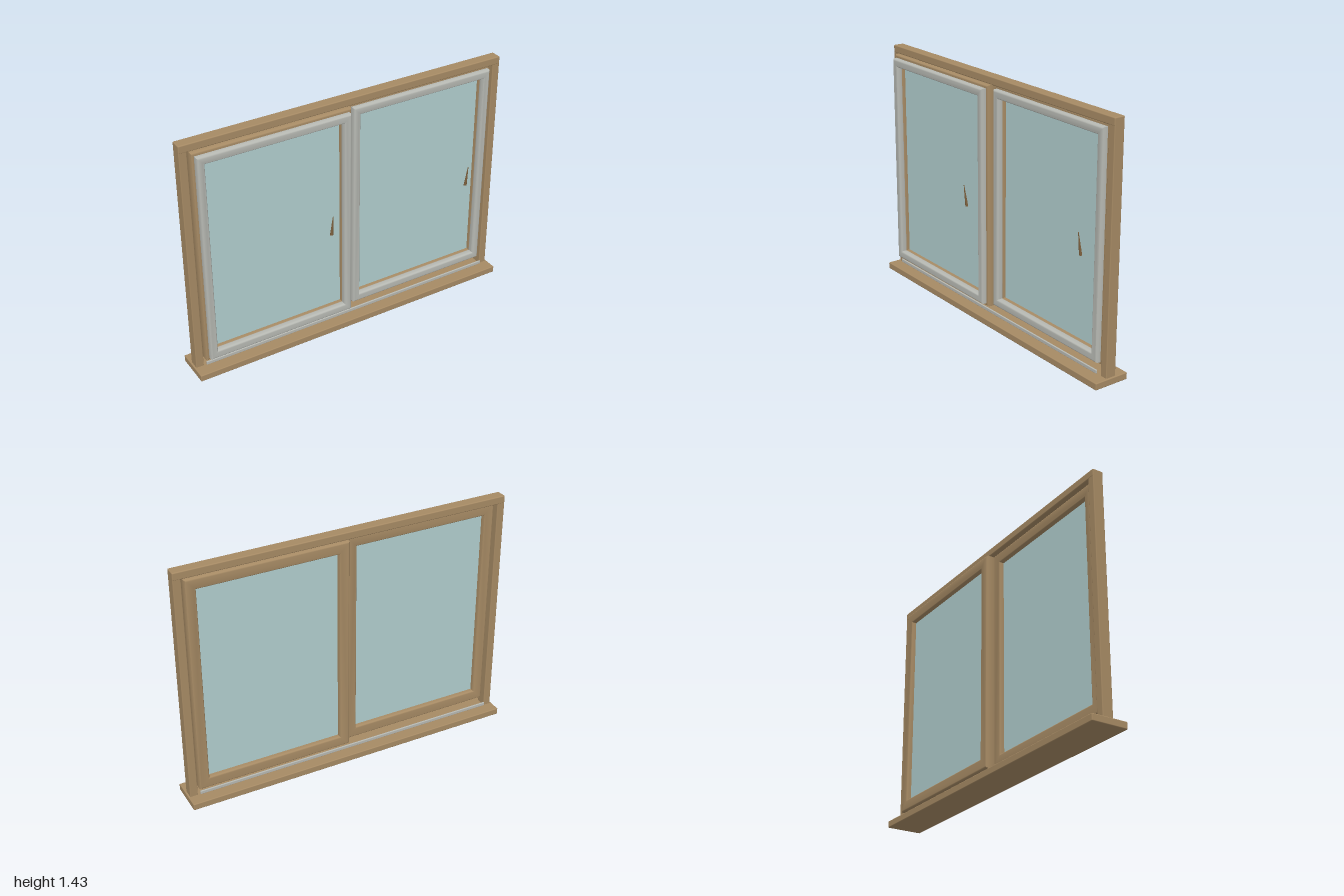
import * as THREE from 'three';
import { toCreasedNormals } from 'three/addons/utils/BufferGeometryUtils.js';
import { RoundedBoxGeometry } from 'three/addons/geometries/RoundedBoxGeometry.js';

const wood = new THREE.MeshStandardMaterial({ color: 0xa68a64 });
const darkWood = new THREE.MeshStandardMaterial({ color: 0x80623f });
const liner = new THREE.MeshStandardMaterial({ color: 0xb6b8b2 });
const glass = new THREE.MeshStandardMaterial({ color: 0xb0cdcd });

function add(parent, name, geometry, material, x = 0, y = 0, z = 0) {
  const mesh = new THREE.Mesh(geometry, material);
  mesh.name = name;
  mesh.position.set(x, y, z);
  parent.add(mesh);
  return mesh;
}

// Bar given by its limits, with softened edges
function bar(parent, name, material, [x0, x1], [y0, y1], [z0, z1], radius) {
  const geometry = new RoundedBoxGeometry(x1 - x0, y1 - y0, z1 - z0, 2, radius);
  return add(parent, name, geometry, material, (x0 + x1) / 2, (y0 + y1) / 2, (z0 + z1) / 2);
}

function rectangle(path, x0, x1, y0, y1) {
  path.moveTo(x0, y0);
  path.lineTo(x1, y0);
  path.lineTo(x1, y1);
  path.lineTo(x0, y1);
  path.closePath();
  return path;
}

// Rectangular ring with rounded inner and outer edges, from z0 to z1
function ring(outer, inner, z0, z1, bevel) {
  const [a, b, c, d] = outer;
  const [e, f, g, h] = inner;
  const shape = rectangle(new THREE.Shape(), a + bevel, b - bevel, c + bevel, d - bevel);
  shape.holes.push(rectangle(new THREE.Path(), e - bevel, f + bevel, g - bevel, h + bevel));
  const geometry = new THREE.ExtrudeGeometry(shape, {
    depth: z1 - z0 - 2 * bevel, bevelThickness: bevel, bevelSize: bevel, bevelSegments: 4,
  });
  geometry.translate(0, 0, z0 + bevel);
  return toCreasedNormals(geometry, 0.6);
}

// Sliding sash: wooden frame, grey inner frame, pane and handle
function makeSash(name) {
  const sash = new THREE.Group();
  sash.name = name;
  const opening = [-0.405, 0.405, 0.15, 1.325];
  add(sash, 'sashFrame', ring([-0.467, 0.467, 0.085, 1.39], opening, -0.0325, 0.0325, 0.011), wood);
  add(sash, 'innerFrame', ring([-0.45, 0.45, 0.102, 1.372], opening, 0.02, 0.0625, 0.012), liner);
  add(sash, 'pane', new THREE.BoxGeometry(0.83, 1.195, 0.01), glass, 0, 0.7375, 0);

  // Slim tapered handle leaning outward
  const grip = toCreasedNormals(new THREE.CylinderGeometry(0.002, 0.01, 0.13, 12), 0.6);
  const handle = add(sash, 'handle', grip, darkWood, 0.315, 0.73, 0.079);
  handle.scale.z = 0.75;
  handle.rotation.x = 0.14;
  return sash;
}

export function createModel() {
  const model = new THREE.Group();
  model.name = 'slidingWindow';

  // Sill and outer frame
  bar(model, 'sill', wood, [-1, 1], [0, 0.04], [-0.107, 0.107], 0.005);
  bar(model, 'head', wood, [-0.99, 0.99], [1.39, 1.435], [-0.035, 0.03], 0.006);
  for (const side of [-1, 1]) {
    bar(model, side < 0 ? 'rightJamb' : 'leftJamb', wood,
      [side * 0.967 - 0.023, side * 0.967 + 0.023], [0.035, 1.432], [-0.034, 0.029], 0.005);
  }

  // Two bottom rails
  bar(model, 'frontRail', liner, [-0.935, 0.935], [0.053, 0.073], [0.042, 0.052], 0.003);
  bar(model, 'backRail', liner, [-0.935, 0.935], [0.053, 0.073], [-0.055, -0.045], 0.003);

  // Front sash on the right half, back sash on the left half
  const front = makeSash('frontSash');
  front.position.set(-0.47, 0, 0.0225);
  const back = makeSash('backSash');
  back.position.set(0.47, 0, -0.0225);
  model.add(front, back);
  return model;
}
